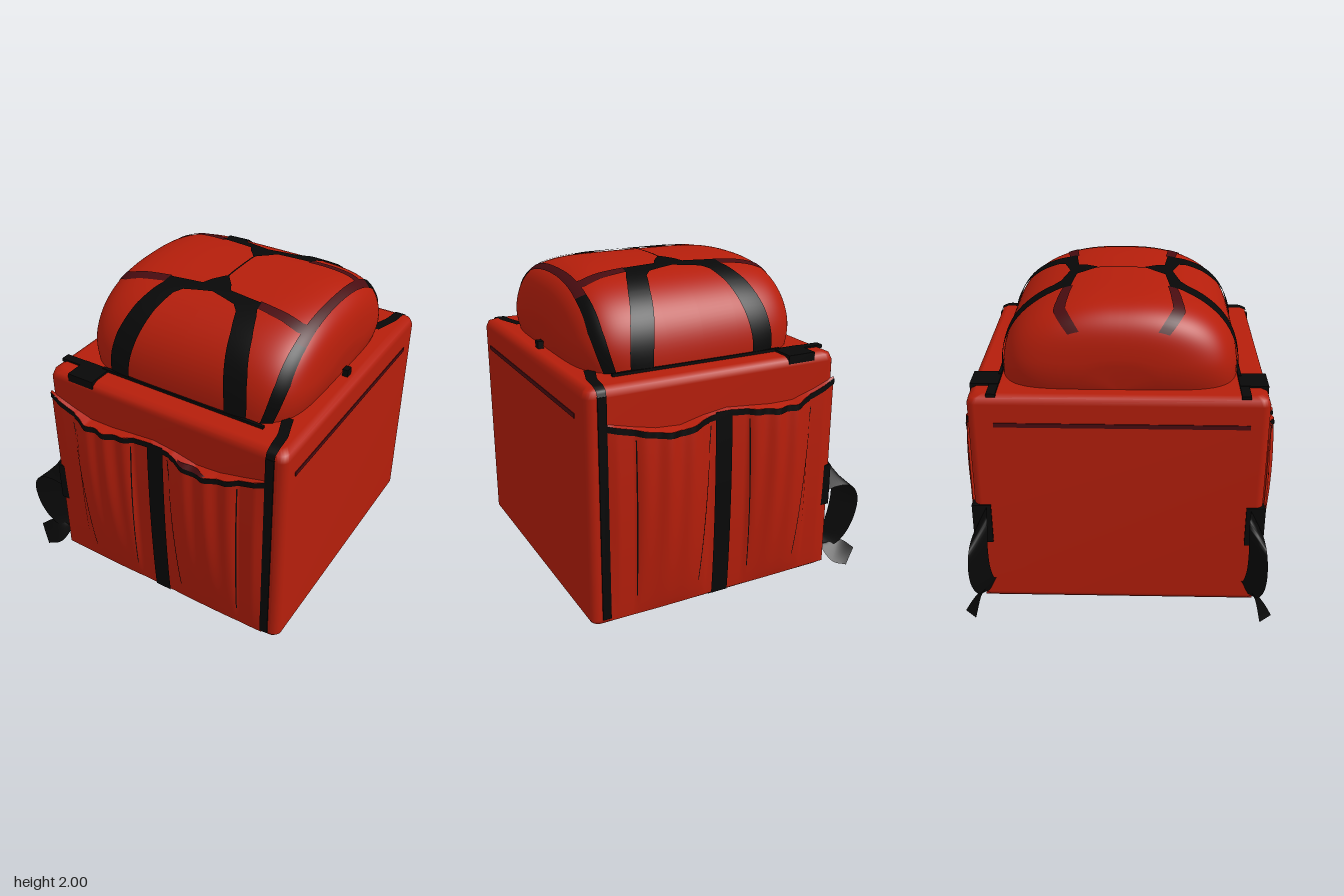
import * as THREE from 'three';

const CX = 0.12; // middle of the bag body
const HX = 0.81, HZ = 0.884; // half width and depth of the body
const { lerp, clamp } = THREE.MathUtils;

const material = (name, color) => {
  const m = new THREE.MeshStandardMaterial({ color, side: THREE.DoubleSide });
  m.name = name;
  return m;
};

// Plane whose vertices are placed by a rule f(u, v) -> [x, y, z]
function surface(nu, nv, f) {
  const g = new THREE.PlaneGeometry(1, 1, nu, nv);
  const p = g.attributes.position;
  for (let i = 0; i < p.count; i++) p.setXYZ(i, ...f(p.getX(i) + 0.5, p.getY(i) + 0.5));
  g.computeVertexNormals();
  return g;
}

// Linear interpolation through rows of numbers, v from 0 to 1
function rowAt(rows, v) {
  const k = clamp(v, 0, 1) * (rows.length - 1);
  const i = Math.min(Math.floor(k), rows.length - 2);
  return rows[i].map((a, j) => lerp(a, rows[i + 1][j], k - i));
}

// Body: rounded rectangle rings, each row holding height, inset and scale
const BODY = [[0, 0.14, 0], [0, 0.14, 1], [0.045, 0.02, 1], [0.08, 0, 1], [1.42, 0, 1], [1.458, 0.013, 1],
  [1.475, 0.05, 1], [1.475, 0.05, 0]];
function bodyPoint(u, v) {
  const [y, inset, k] = rowAt(BODY, v);
  const j = Math.round(u * 24), corner = Math.floor(j / 6) % 4, r = 0.05;
  const a = (corner + (j % 6) / 5) * Math.PI / 2;
  const x = (HX - inset - r) * (corner < 2 ? 1 : -1) + r * Math.sin(a);
  const z = (HZ - inset - r) * (corner % 3 ? -1 : 1) + r * Math.cos(a);
  return [CX + k * x, y, k * z];
}
// Height of the underside, which rises towards the edges
function underY(x, z) {
  const d = Math.min(HX - Math.abs(x - CX), HZ - Math.abs(z));
  return d > 0.02 ? 0.045 * clamp((0.14 - d) / 0.12, 0, 1) : lerp(0.08, 0.045, d / 0.02);
}

// Domed top: superellipse arch in y-z, rounded ends along x, tucked in at the base
function domePoint(x, deg, s, lift = 0) {
  const t = THREE.MathUtils.degToRad(deg);
  const c = Math.cos(t), e = 0.8;
  const k = s * (1 + lift);
  const h = k * Math.pow(Math.max(0, Math.sin(t)), e);
  const tuck = 1 - 0.045 * Math.pow(Math.max(0, 1 - h / 0.35), 2);
  return [CX + (x - CX) * tuck, 1.465 + 0.525 * h, 0.72 * k * Math.sign(c) * Math.pow(Math.abs(c), e)];
}
const DOME_HALF = 0.73, DOME_N = 5.2;
const domeScale = x =>
  Math.pow(Math.max(0, 1 - Math.pow(Math.abs((x - CX) / DOME_HALF), DOME_N)), 1 / DOME_N);

// Pocket side: gentle panel bulge plus two gathered pockets
function pocketZ(x, y) {
  const p = Math.pow(Math.max(0, Math.sin(Math.PI * (y - 0.05) / 1.5)), 0.7);
  const edge = clamp(Math.min((x + 0.69) / 0.08, (0.82 - x) / 0.06), 0, 1);
  let z = 0.884 + 0.026 * p * edge;
  for (const [a, b] of [[-0.5, -0.07], [0.19, 0.65]]) {
    const s = (x - a) / (b - a);
    if (s <= 0 || s >= 1) continue;
    const fold = 0.82 + 0.2 * y * Math.cos(s * Math.PI * 6 + y * 1.5);
    z += 0.062 * p * Math.sqrt(Math.sin(Math.PI * s)) * fold;
  }
  return z;
}
const HEM = [[1.29], [1.235], [1.19], [1.19], [1.205], [1.22], [1.2], [1.165], [1.175], [1.21], [1.25]];
const hemY = x => rowAt(HEM, (x + 0.69) / 1.51)[0];

export function createModel() {
  const red = material('red fabric', 0xb51e0b);
  const black = material('black webbing', 0x080808);
  const maroon = material('dark red trim', 0x480c10);
  const fadedRed = material('faded dark red', 0x801410);
  const bag = new THREE.Group();
  bag.name = 'deliveryBag';

  const add = (name, geometry, mat, parent = bag) => {
    const m = new THREE.Mesh(geometry, mat);
    m.name = name;
    parent.add(m);
    return m;
  };
  const box = (name, mat, [x0, x1], [y0, y1], [z0, z1], parent) =>
    add(name, new THREE.BoxGeometry(x1 - x0, y1 - y0, z1 - z0), mat, parent)
      .position.set((x0 + x1) / 2, (y0 + y1) / 2, (z0 + z1) / 2);

  // Body
  add('body', surface(24, BODY.length - 1, bodyPoint), red);

  // Domed top
  add('domedTop', surface(64, 64, (u, v) => {
    const a = (u - 0.5) * Math.PI, k = 2 / DOME_N;
    const x = CX + DOME_HALF * Math.sign(a) * Math.pow(Math.abs(Math.sin(a)), k);
    return domePoint(x, v * 180, Math.pow(Math.max(0, Math.cos(a)), k));
  }), red);

  // Strips lying on the dome; each row holds x, angle, x, angle for its two edges
  const domeStrip = (name, mat, rows, map = (x, t) => [x, t], lift = 0.014) =>
    add(name, surface(8, (rows.length - 1) * 8, (u, v) => {
      const [x0, t0, x1, t1] = rowAt(rows, v);
      const [x, t] = map(lerp(x0, x1, u), lerp(t0, t1, u));
      return domePoint(x, t, domeScale(x), lift);
    }), mat);

  const strapRows = [[-0.36, 0, -0.22, 0], [-0.32, 25, -0.175, 25], [-0.265, 48, -0.13, 48],
    [-0.22, 61, -0.09, 61], [-0.195, 66, -0.05, 65], [-0.19, 71, 0.03, 67], [-0.08, 72, 0.12, 69],
    [0.025, 73, 0.12, 71], [0.055, 77, 0.12, 77], [0.112, 82, 0.12, 82]];
  const sideRows = [[-0.18, 67, -0.18, 72], [-0.36, 64, -0.36, 70], [-0.46, 61, -0.46, 68],
    [-0.58, 62, -0.58, 70]];
  for (const back of [false, true]) {
    const turn = t => (back ? 180 - t : t);
    for (const mirror of [false, true]) {
      const map = (x, t) => [mirror ? Math.min(2 * CX - x, 0.75) : x, turn(t)];
      domeStrip('domeStrap', black, strapRows, map);
      domeStrip('domeSideBand', maroon, sideRows, map, 0.01);
    }
    domeStrip('domeEndStrap', black, [[0.68, 0, 0.745, 0], [0.71, 25, 0.775, 25], [0.72, 54, 0.775, 54]],
      (x, t) => [x, turn(t)]);
  }
  domeStrip('domeEndBand', maroon, [[0.72, 54, 0.775, 54], [0.72, 90, 0.765, 90], [0.72, 126, 0.775, 126]]);
  domeStrip('domeCentreSeam', black, [[0.115, 81, 0.125, 81], [0.115, 99, 0.125, 99]], undefined, 0.01);

  // Pocket sides, front and back
  for (const s of [1, -1]) {
    const side = new THREE.Group();
    side.name = s > 0 ? 'frontPockets' : 'backPockets';
    bag.add(side);
    const sheet = (name, mat, nu, nv, f) => add(name, surface(nu, nv, (u, v) => {
      const [x, y, z] = f(s > 0 ? u : 1 - u, v);
      return [x, y, s * z];
    }), mat, side);
    const onPocket = (x, y, lift) => [x, y, pocketZ(x, y) + lift];

    sheet('pocketPanel', red, 120, 30, (u, v) => {
      const x = lerp(-0.688, 0.82, u);
      return onPocket(x, lerp(0.06, hemY(x), v), 0);
    });
    sheet('pocketHem', black, 120, 2, (u, v) => {
      const x = lerp(-0.692, 0.82, u);
      return onPocket(x, hemY(x) - 0.022 + 0.036 * v, 0.005);
    });
    sheet('pocketLedge', red, 120, 1, (u, v) => {
      const x = lerp(-0.69, 0.82, u), y = hemY(x) + 0.014;
      return [x, y + 0.012 * v, lerp(pocketZ(x, y) + 0.004, 0.88, v)];
    });
    sheet('centreStrap', black, 8, 24, (u, v) =>
      onPocket(lerp(0.04, 0.15, u), lerp(0.06, 1.235, v), 0.008));
    sheet('centreStrapEnd', black, 4, 8, (u, v) => {
      const x = lerp(0.04, 0.15, u), z = lerp(0.8, 0.884, v);
      return [x, underY(x, z) - 0.006, z];
    });

    // Thin stitched edges of the pockets
    for (const [top, bottom] of [[-0.51, -0.42], [-0.075, -0.09], [0.18, 0.25], [0.65, 0.65]])
      sheet('pocketSeam', black, 1, 20, (u, v) =>
        onPocket(lerp(bottom, top, v) + (u - 0.5) * 0.005, lerp(0.19, 1.16, v), 0.005));

    // Corner webbing and lid webbing
    const zr = (a, b) => (s > 0 ? [a, b] : [-b, -a]);
    box('cornerStrap', black, [0.81, 0.862], [0.08, 1.43], zr(0.88, 0.892), side);
    sheet('lidCornerStrap', black, 2, 16, (u, v) => {
      const [x, y, z] = rowAt([[0.836, 1.42, 0.892], [0.836, 1.462, 0.878], [0.835, 1.482, 0.83],
        [0.825, 1.482, 0.73], [0.79, 1.482, 0.63], [0.77, 1.482, 0.57]], v);
      return [x + (u - 0.5) * lerp(0.052, 0.07, v), y, z];
    });
    box('lidPatch', black, [-0.54, -0.36], [1.435, 1.487], zr(0.71, 0.88), side);
    box('lidStrap', black, [-0.68, -0.5], [1.465, 1.485], zr(0.71, 0.765), side);
    box('lidPiping', black, [-0.4, 0.7], [1.465, 1.492], zr(0.71, 0.73), side);

    // Carrying strap: anchor, loop and loose tail; rows hold centre then half width
    box('strapAnchor', black, [-0.7, -0.635], [0.47, 0.74], zr(0.78, 0.897), side);
    const ribbon = (name, rows) => {
      const curve = k => new THREE.CatmullRomCurve3(rows.map(r => new THREE.Vector3(
        r[0] + k * r[3], r[1] + k * r[4], r[2] + k * r[5])));
      const a = curve(-1), b = curve(1);
      sheet(name, black, 2, 32, (u, v) => a.getPoint(v).lerp(b.getPoint(v), u).toArray());
    };
    ribbon('strapLoop', [[-0.66, 0.64, 0.85, 0, 0.09, -0.04], [-0.76, 0.645, 0.845, 0.01, 0.075, -0.045],
      [-0.83, 0.605, 0.845, 0.055, 0.055, -0.05], [-0.865, 0.48, 0.85, 0.07, 0.015, -0.05],
      [-0.83, 0.3, 0.85, 0.07, 0.01, -0.05], [-0.765, 0.18, 0.83, 0.05, 0.025, -0.045],
      [-0.68, 0.14, 0.8, 0.02, 0.045, -0.03]]);
    ribbon('strapTail', [[-0.69, 0.17, 0.81, 0.01, 0.035, -0.02], [-0.79, 0.11, 0.89, 0.05, -0.05, 0.035],
      [-0.89, 0.055, 0.92, 0.065, -0.025, 0.045]]);
  }

  // Dark fold above the hem of the front pocket
  add('hemFold', surface(16, 1, (u, v) => {
    const x = lerp(0.25, 0.47, u), y = hemY(x) + 0.012;
    return [x, y + 0.03 * v * Math.sin(Math.PI * u), pocketZ(x, y) + 0.008 - 0.02 * v];
  }), maroon);

  // Dark stripe along each plain side
  for (const x of [-0.692, 0.932])
    box('sideStripe', maroon, [x - 0.003, x + 0.003], [1.277, 1.304], [-0.73, 0.77]);

  // Small pull tab beside the dome
  box('pullTab', black, [0.835, 0.87], [1.47, 1.52], [-0.025, 0.025]);

  // Worn underside: a dark core inside a faded fringe, rows give the inner edge from back to front
  const worn = (name, mat, drop, edges) => add(name, surface(24, 48, (u, v) => {
    const z = lerp(-0.86, 0.86, v);
    const x = lerp(-0.67, rowAt(edges, v)[0], u);
    return [x, underY(x, z) - drop, z];
  }), mat);
  worn('wornFringe', fadedRed, 0.002, [[0.46], [0.44], [0.37], [0.35], [0.08], [-0.34], [-0.36], [-0.38],
    [-0.38], [-0.37], [-0.33], [-0.2], [0.5]]);
  worn('wornCore', maroon, 0.004, [[0.38], [0.36], [0.29], [0.27], [0.0], [-0.42], [-0.44], [-0.46],
    [-0.46], [-0.45], [-0.43], [-0.38], [0.2]]);

  return bag;
}
